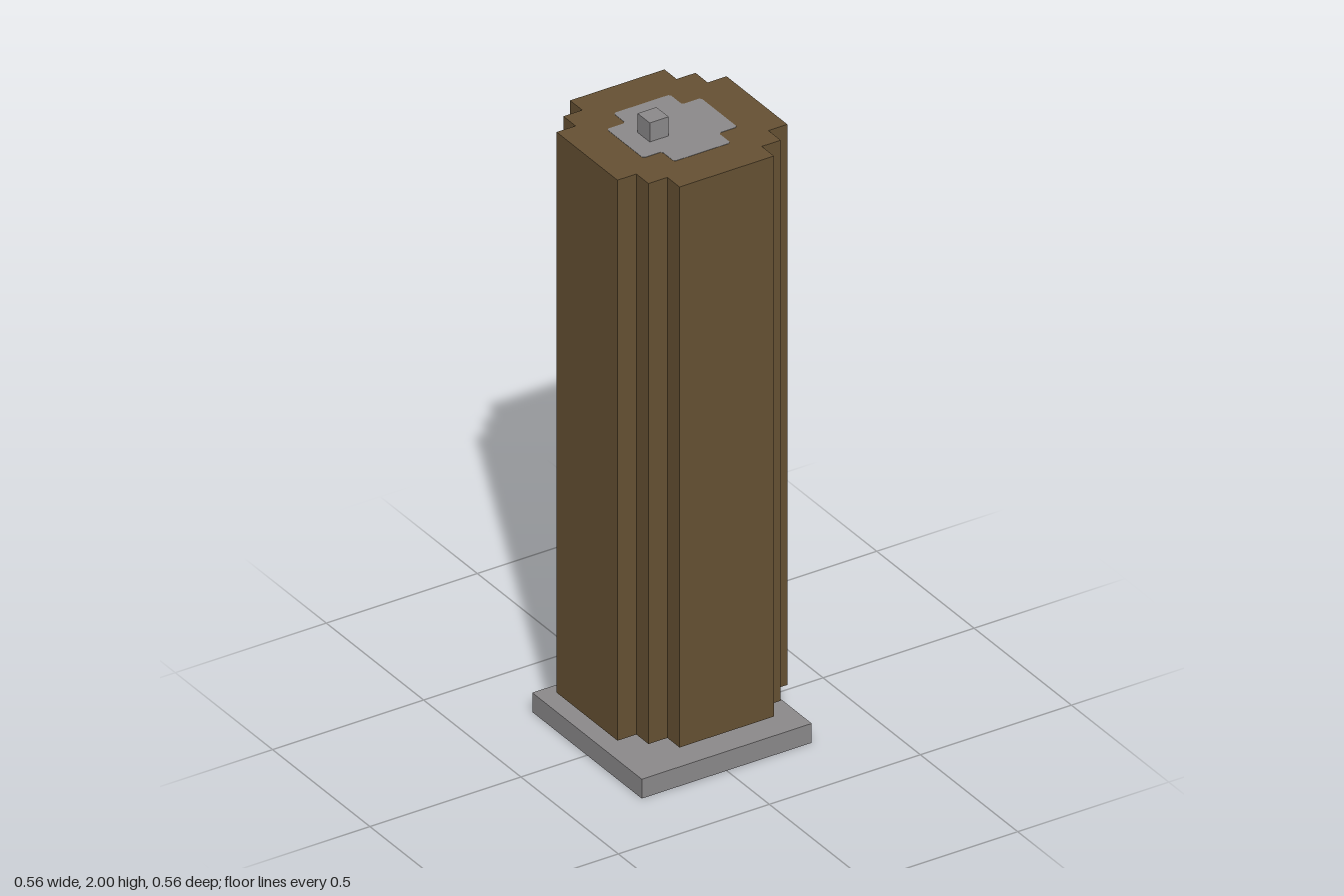
import * as THREE from 'three';

const U = 0.0625; // one block
const bark = new THREE.MeshStandardMaterial({ color: 0x665133 });
bark.name = 'brown';
const stone = new THREE.MeshStandardMaterial({ color: 0x8c8a8b });
stone.name = 'grey';

// Outline with four-fold symmetry, made by turning one corner's points
function cornerOutline(points) {
  const all = [];
  for (let i = 0; i < 4; i++) {
    for (const [x, y] of points) {
      const p = new THREE.Vector2(x, y);
      for (let k = 0; k < i; k++) p.set(-p.y, p.x);
      all.push(p);
    }
  }
  return new THREE.Shape(all);
}

// Upright prism from y0 to y1
function prism(shape, y0, y1) {
  return new THREE.ExtrudeGeometry(shape, { depth: y1 - y0, bevelEnabled: false })
    .rotateX(-Math.PI / 2).translate(0, y0, 0);
}

// Box given by its lowest and highest corners
function block([x0, y0, z0], [x1, y1, z1]) {
  return new THREE.BoxGeometry(x1 - x0, y1 - y0, z1 - z0)
    .translate((x0 + x1) / 2, (y0 + y1) / 2, (z0 + z1) / 2);
}

export function createModel() {
  const model = new THREE.Group();
  model.name = 'column';
  const add = (name, geometry, material) => {
    const mesh = new THREE.Mesh(geometry, material);
    mesh.name = name;
    model.add(mesh);
  };
  const h = 4.5 * U, s = 3.5 * U, a = 2.5 * U, c = 1.5 * U, e = 0.006;

  // Base plate, short foot and top peg
  add('basePlate', block([-h, 0, -h], [h, U, h]), stone);
  add('foot', block([-U / 2, U, -c], [U / 2, 2 * U, U / 2]), stone);
  add('topPeg', block([-c, 31 * U, -U / 2], [-U / 2, 32 * U, U / 2]), stone);

  // Body with stepped corners
  const bodyShape = cornerOutline([[h, a], [s, a], [s, s], [a, s], [a, h]]);
  add('body', prism(bodyShape, 2 * U, 31 * U), bark);

  // Core showing at both ends
  const coreShape = cornerOutline([[a, c - e], [a - e, c], [c + e, c], [c, c + e], [c, a - e], [c - e, a]]);
  add('coreTop', prism(coreShape, 31 * U - 0.002, 31 * U + 0.001), stone);
  add('coreBottom', prism(coreShape, 2 * U - 0.001, 2 * U + 0.002), stone);

  // Small patch wrapping the rear edge of the left face
  const y0 = 21 * U, y1 = 22 * U;
  const patchShape = new THREE.Shape([[c + 0.01, y0], [a, y0], [a, y1], [c + 0.01, y1], [c, y1 - 0.01], [c, y0 + 0.01]]
    .map(([x, y]) => new THREE.Vector2(x, y)));
  const sidePatch = new THREE.ExtrudeGeometry(patchShape, { depth: 0.002, bevelEnabled: false })
    .rotateY(Math.PI / 2).translate(h - 0.001, 0, 0);
  add('sidePatch', sidePatch, stone);
  add('stepPatch', block([s, y0, -a - 0.001], [h + 0.001, y1, -a + 0.001]), stone);

  return model;
}
